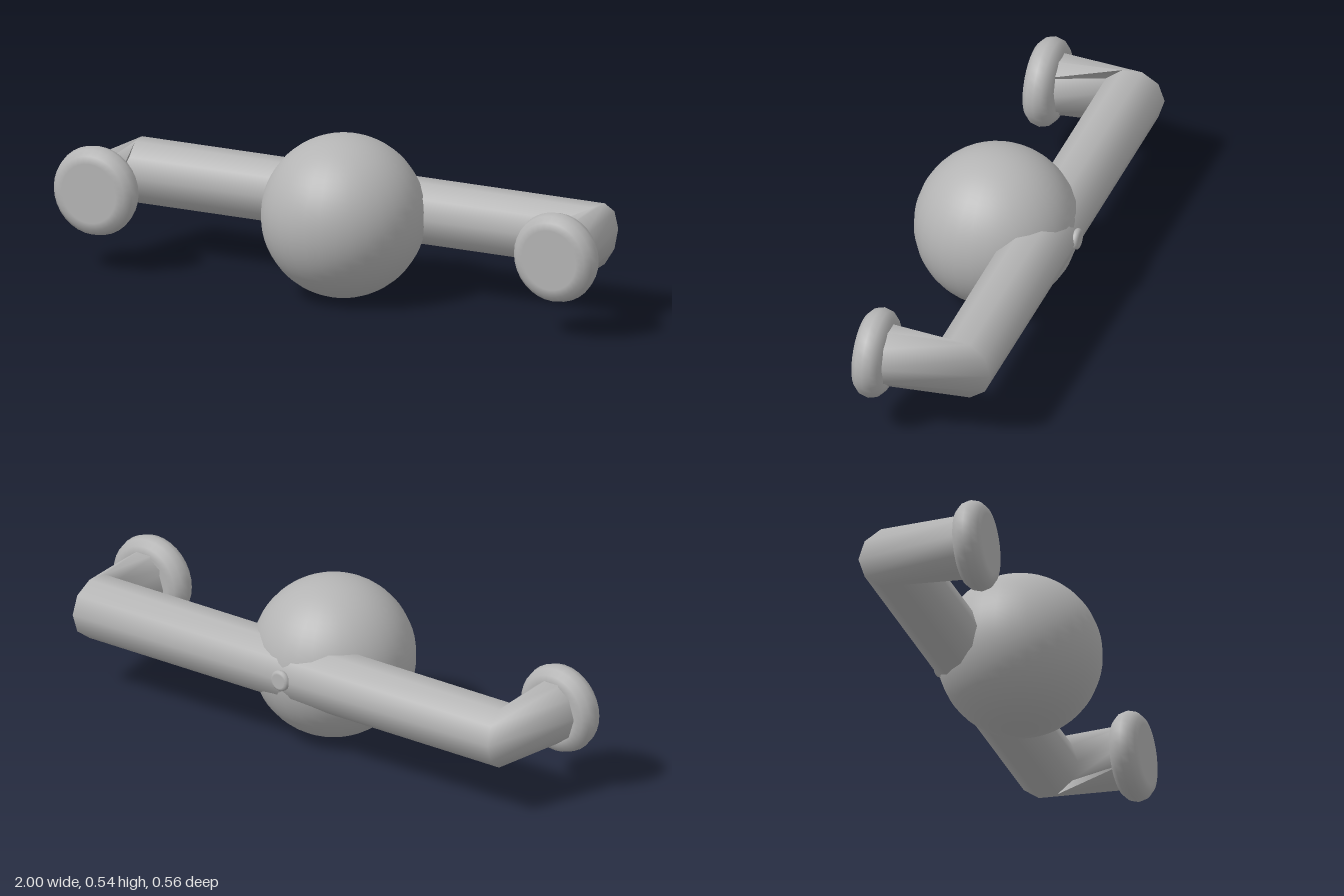
import * as THREE from 'three';

const grey = new THREE.MeshStandardMaterial({ color: 0xb4b4b4 });
grey.name = 'plain grey';

const MID_Y = 0.272;

// Round pad with a rolled rim, facing +z
function roundPad(name, rimRadius, roll, segments) {
  const pad = new THREE.Group();
  pad.name = name;
  const rim = new THREE.Mesh(new THREE.TorusGeometry(rimRadius, roll, 12, segments), grey);
  rim.name = name + 'Rim';
  const disc = new THREE.Mesh(
    new THREE.CylinderGeometry(rimRadius, rimRadius, roll * 2, segments).rotateX(Math.PI / 2), grey);
  disc.name = name + 'Disc';
  pad.add(rim, disc);
  return pad;
}

// Ten-sided tube through mitred rings; each ring is [x, z, ux, uz], with u its in-plane direction
function ringTube(rings, radius, sides) {
  const positions = [], normals = [], index = [];
  rings.forEach(([x, z, ux, uz], i) => {
    for (let j = 0; j < sides; j++) {
      const a = (j / sides) * Math.PI * 2;
      const c = Math.cos(a), s = Math.sin(a);
      positions.push(x + radius * c * ux, MID_Y + radius * s, z + radius * c * uz);
      const n = new THREE.Vector3(c * ux, s, c * uz).normalize();
      normals.push(n.x, n.y, n.z);
      if (i < rings.length - 1) {
        const k = (j + 1) % sides;
        const p = i * sides + j, q = i * sides + k;
        index.push(p, q, p + sides, q, q + sides, p + sides);
      }
    }
  });
  const geometry = new THREE.BufferGeometry();
  geometry.setAttribute('position', new THREE.Float32BufferAttribute(positions, 3));
  geometry.setAttribute('normal', new THREE.Float32BufferAttribute(normals, 3));
  geometry.setIndex(index);
  return geometry;
}

export function createModel() {
  const model = new THREE.Group();
  model.name = 'model';

  // Central ball
  const ball = new THREE.Mesh(new THREE.SphereGeometry(0.27, 32, 32), grey);
  ball.name = 'ball';
  ball.position.set(0, MID_Y, 0.009);
  model.add(ball);

  // Bent bar running behind the ball, from one pad to the other
  const bar = new THREE.Mesh(ringTube([
    [-0.85, 0.13, -1, 0],
    [-0.85, -0.163, -0.14, -0.99],
    [0, -0.163, 0, -1],
    [0.85, -0.163, 0.14, -0.99],
    [0.85, 0.13, 1, 0],
  ], 0.108, 10), grey);
  bar.name = 'bentBar';
  model.add(bar);

  // Pads at both ends of the bar
  for (const side of [-1, 1]) {
    const pad = roundPad(side > 0 ? 'leftPad' : 'rightPad', 0.1, 0.05, 32);
    pad.position.set(side * 0.85, MID_Y, 0.128);
    model.add(pad);
  }

  // Small button on the back of the bar
  const button = roundPad('backButton', 0.024, 0.012, 20);
  button.rotation.y = Math.PI;
  button.position.set(0, MID_Y, -0.268);
  model.add(button);

  return model;
}
